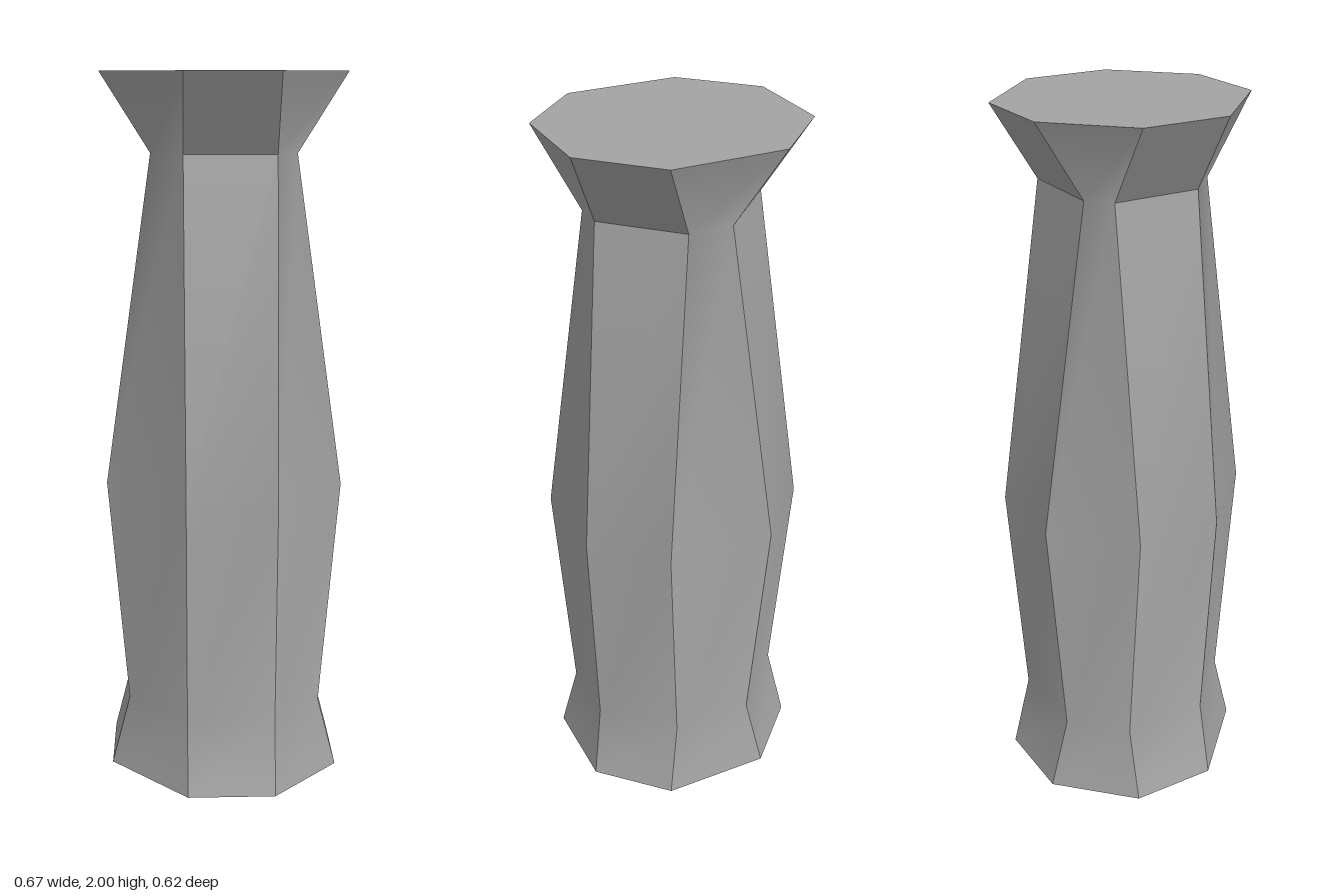
import * as THREE from 'three';
import { toCreasedNormals } from 'three/addons/utils/BufferGeometryUtils.js';

// Rectangle with chamfered corners at height y
const CHAMFER = 0.176;
function ring([y, hx, hz]) {
  const fx = hx - CHAMFER, fz = hz - CHAMFER;
  return [
    [hx, -fz], [hx, fz], [fx, hz], [-fx, hz],
    [-hx, fz], [-hx, -fz], [-fx, -hz], [fx, -hz],
  ].map(([x, z]) => [x, y, z]);
}

// Joins the rings into a closed body with flat ends
function loft(sections) {
  const rings = sections.map(ring);
  const pos = [];
  const tri = (a, b, c) => pos.push(...a, ...b, ...c);
  const last = rings.length - 1;
  for (let i = 0; i < 8; i++) {
    const j = (i + 1) % 8;
    for (let r = 0; r < last; r++) {
      const lo = rings[r], hi = rings[r + 1];
      tri(lo[i], hi[i], lo[j]);
      tri(lo[j], hi[i], hi[j]);
    }
    tri([0, sections[0][0], 0], rings[0][i], rings[0][j]);
    tri([0, sections[last][0], 0], rings[last][j], rings[last][i]);
  }
  const geometry = new THREE.BufferGeometry();
  geometry.setAttribute('position', new THREE.Float32BufferAttribute(pos, 3));
  // Broad faces blend over their bends, the sharper chamfers stay creased
  return toCreasedNormals(geometry, THREE.MathUtils.degToRad(35));
}

export function createModel() {
  const grey = new THREE.MeshStandardMaterial({ color: 0xa3a3a3 });
  grey.name = 'grey';

  // Height, half width, half depth: foot, ankle, belly, neck, flared top
  const handle = new THREE.Mesh(loft([
    [0, 0.333, 0.31],
    [0.21, 0.295, 0.272],
    [0.87, 0.333, 0.31],
    [1.787, 0.238, 0.216],
    [2, 0.333, 0.31],
  ]), grey);
  handle.name = 'handle';

  const model = new THREE.Group();
  model.name = 'octagonalHandle';
  model.add(handle);
  return model;
}
